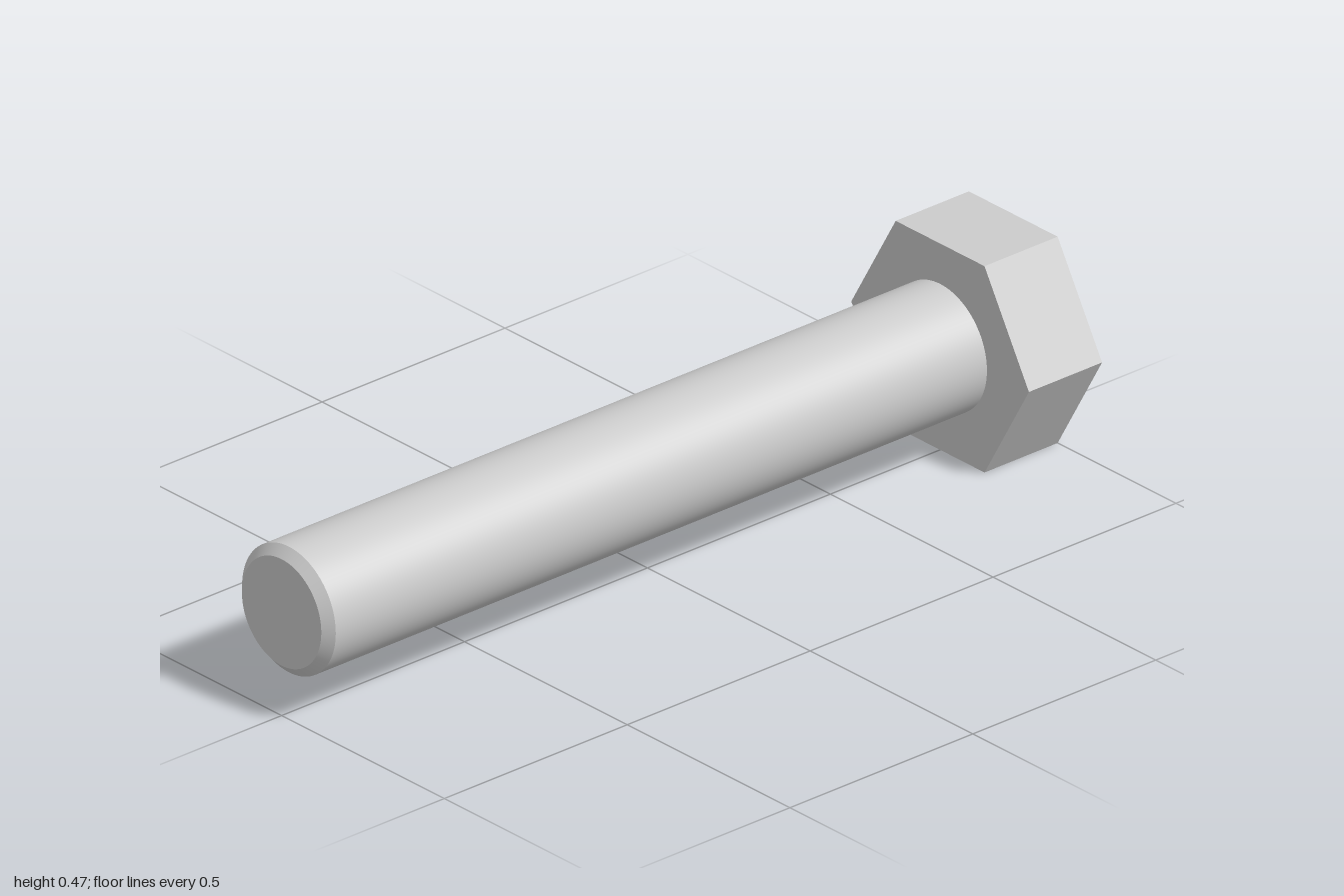
import * as THREE from 'three';

const AXIS_Y = 0.2365;      // height of the bolt's axis
const HEAD_RADIUS = 0.273;  // corner radius of the hexagon
const SHANK_RADIUS = 0.144;
const TIP_RADIUS = 0.122;
const SIDES = 96;

export function createModel() {
  const bolt = new THREE.Group();
  bolt.name = 'hexBolt';
  const grey = new THREE.MeshStandardMaterial({ color: 0xcccccc });
  const flatGrey = new THREE.MeshStandardMaterial({ color: 0xcccccc, flatShading: true });

  // Adds a solid of revolution along z, from zBack to zFront
  function addSection(name, backRadius, frontRadius, zBack, zFront, sides, material, open, turn = 0) {
    const geometry = new THREE.CylinderGeometry(
      frontRadius, backRadius, zFront - zBack, sides, 1, open, turn);
    geometry.rotateX(Math.PI / 2);
    const mesh = new THREE.Mesh(geometry, material);
    mesh.name = name;
    mesh.position.set(0, AXIS_Y, (zBack + zFront) / 2);
    bolt.add(mesh);
  }

  // Hexagonal head with flats at top and bottom
  addSection('head', HEAD_RADIUS, HEAD_RADIUS, -1, -0.8, 6, flatGrey, false, Math.PI / 6);

  // Smooth shank
  addSection('shank', SHANK_RADIUS, SHANK_RADIUS, -0.8, 0.98, SIDES, grey, true);

  // Chamfered tip
  addSection('tipChamfer', SHANK_RADIUS, TIP_RADIUS, 0.98, 1, SIDES, grey, true);

  // Flat end face
  const endFace = new THREE.Mesh(new THREE.CircleGeometry(TIP_RADIUS, SIDES), grey);
  endFace.name = 'endFace';
  endFace.position.set(0, AXIS_Y, 1);
  bolt.add(endFace);

  return bolt;
}
